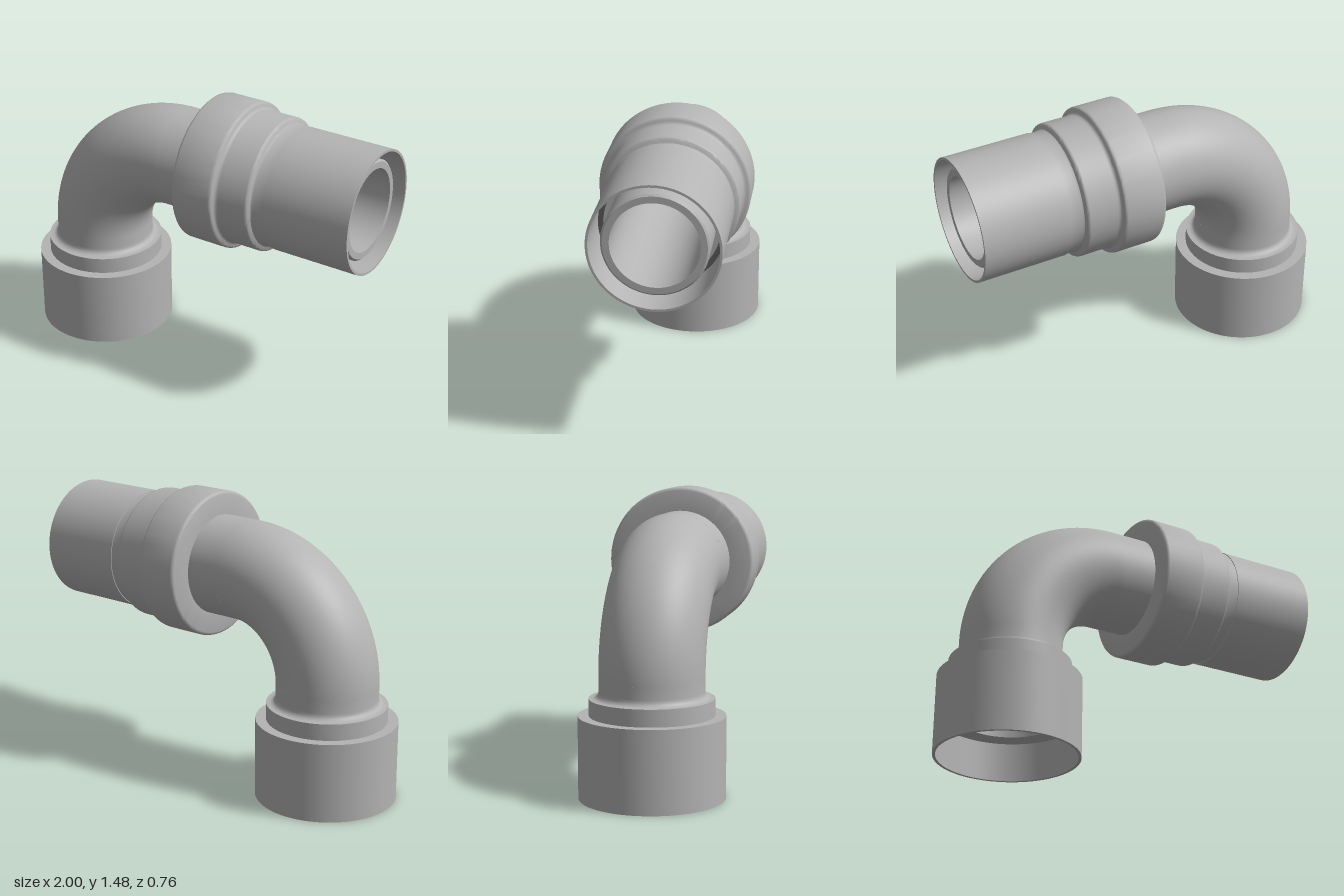
import * as THREE from 'three';
import { toCreasedNormals } from 'three/addons/utils/BufferGeometryUtils.js';

const AXIS_X = -0.64, AXIS_Y = 1.1;      // centre lines of the two ends
const BEND = 0.51, PIPE = 0.26, BORE = 0.2125;

// Revolve [radius, height] pairs, keeping hard steps sharp
function turned(points) {
  const profile = points.map(([r, h]) => new THREE.Vector2(r, h));
  return toCreasedNormals(new THREE.LatheGeometry(profile, 96), 0.6);
}

export function createModel() {
  const model = new THREE.Group();
  model.name = 'pipeElbow';
  const grey = new THREE.MeshStandardMaterial({ color: 0xb4b4b4, side: THREE.DoubleSide });
  grey.name = 'greyMetal';
  const dark = new THREE.MeshStandardMaterial({ color: 0x606060, side: THREE.DoubleSide });
  dark.name = 'darkSeal';

  function add(name, geometry, material = grey) {
    const mesh = new THREE.Mesh(geometry, material);
    mesh.name = name;
    model.add(mesh);
    return mesh;
  }
  function addHorizontal(name, points, material) {
    const mesh = add(name, turned(points), material);
    mesh.rotation.z = -Math.PI / 2;
    mesh.position.y = AXIS_Y;
  }

  // Quarter bend, outside and bore
  for (const [name, radius] of [['bend', PIPE], ['bendBore', BORE]]) {
    const mesh = add(name, new THREE.TorusGeometry(BEND, radius, 72, 64, Math.PI / 2));
    mesh.rotation.z = Math.PI / 2;
    mesh.position.set(AXIS_X + BEND, AXIS_Y - BEND, 0);
  }

  // Lower socket with collar and stepped inside
  const socket = add('lowerSocket', turned([
    [0.347, 0], [0.362, 0], [0.362, 0.41], [0.308, 0.41], [0.308, 0.495],
    [0.287, 0.495], [0.275, 0.499], [0.266, 0.507], [0.261, 0.518], [PIPE, 0.53],
    [PIPE, 0.59], [BORE, 0.59], [BORE, 0.41], [0.25, 0.41], [0.25, 0.2],
    [0.347, 0.2], [0.347, 0],
  ]));
  socket.position.x = AXIS_X;

  // Straight pipe running through the coupling
  addHorizontal('innerPipe', [
    [BORE, -0.13], [PIPE, -0.13], [PIPE, 0.1], [0.255, 0.1], [0.255, 0.95],
    [0.245, 0.96], [BORE, 0.96], [BORE, -0.13],
  ]);

  // Coupling: rounded flange, shoulder and sleeve
  addHorizontal('coupling', [
    [0.255, 0.055], [0.366, 0.055], [0.374, 0.058], [0.38, 0.064], [0.382, 0.072],
    [0.382, 0.27], [0.38, 0.278], [0.374, 0.284], [0.364, 0.287], [0.355, 0.29],
    [0.349, 0.296], [0.346, 0.306], [0.346, 0.455], [0.344, 0.463], [0.338, 0.469],
    [0.325, 0.472], [0.318, 0.476], [0.314, 0.485], [0.313, 0.54], [0.317, 0.54],
    [0.317, 1], [0.305, 1], [0.305, 0.72], [0.255, 0.72],
  ]);

  // Seal at the foot of the gap
  addHorizontal('seal', [[0.305, 0.72], [0.305, 0.728], [0.28, 0.728], [0.28, 0.72]], dark);

  return model;
}
